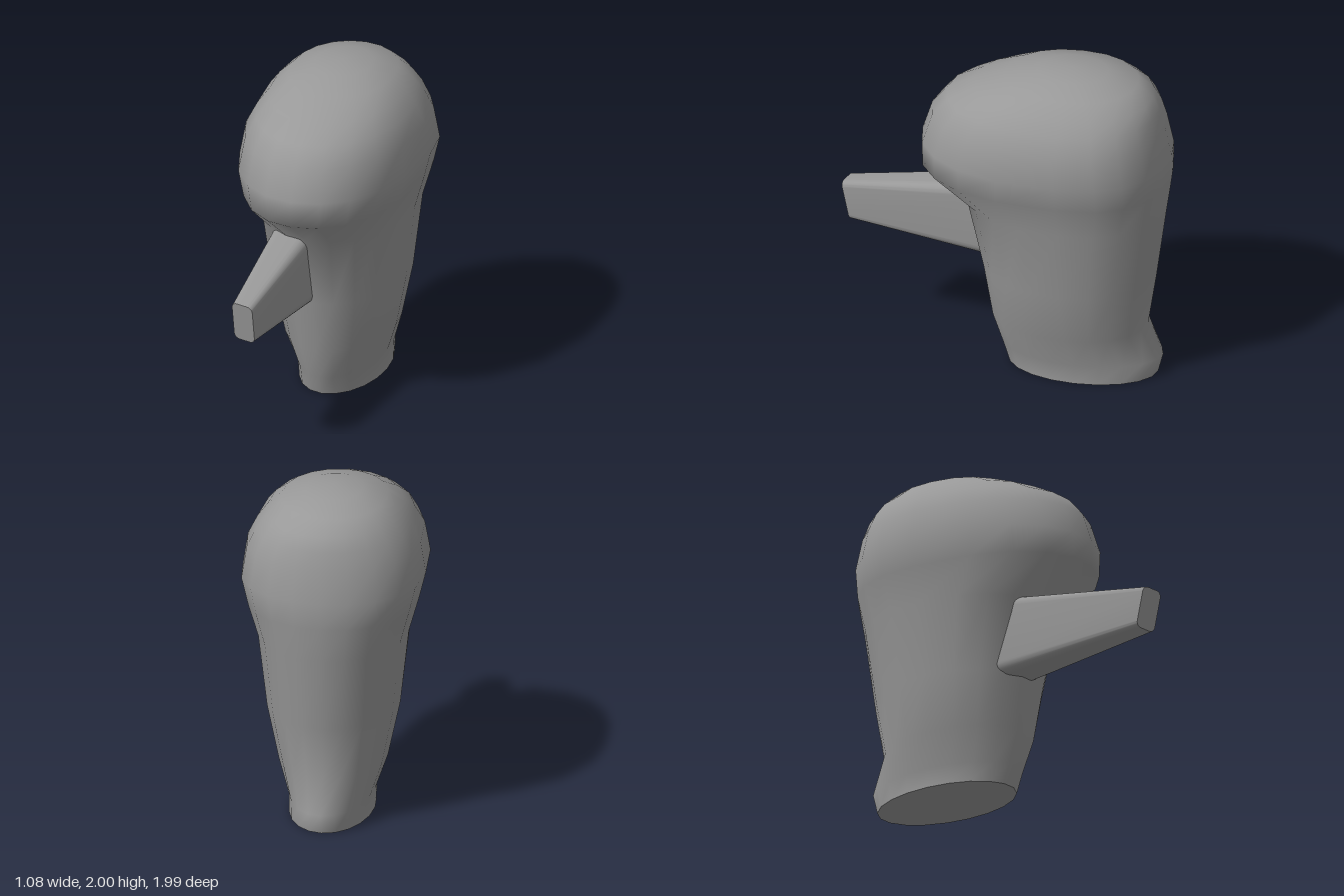
import * as THREE from 'three';
import { toCreasedNormals } from 'three/addons/utils/BufferGeometryUtils.js';

const SIDES = 20;

// Body rings: height, half width, front z, back z, z of widest point, fullness exponent
const RINGS = [
  [0.00, 0.25, -0.02, -0.91, -0.46, 1.0],
  [0.12, 0.25, 0.02, -0.94, -0.46, 1.0],
  [0.32, 0.32, 0.08, -0.85, -0.42, 0.95],
  [0.65, 0.39, 0.13, -0.90, -0.40, 0.9],
  [1.10, 0.44, 0.23, -0.96, -0.40, 0.85],
  [1.31, 0.50, 0.50, -0.99, -0.40, 0.78],
  [1.47, 0.54, 0.50, -0.99, -0.40, 0.78],
  [1.66, 0.51, 0.44, -0.95, -0.40, 0.8],
  [1.77, 0.455, 0.35, -0.92, -0.40, 0.82],
  [1.85, 0.395, 0.20, -0.88, -0.40, 0.85],
  [1.93, 0.31, 0.00, -0.79, -0.40, 0.9],
  [1.98, 0.17, -0.19, -0.61, -0.40, 1.0],
];

function ringPoint([y, w, front, back, mid, power], i) {
  const a = (i / SIDES) * Math.PI * 2;
  const c = Math.cos(a);
  const reach = c > 0 ? front - mid : mid - back;
  return [w * Math.sin(a), y, mid + Math.sign(c) * reach * Math.pow(Math.abs(c), power)];
}

// Smooth egg-shaped loft closed by an apex
function bodyGeometry() {
  const pos = [], index = [];
  RINGS.forEach((ring, r) => {
    for (let i = 0; i < SIDES; i++) {
      pos.push(...ringPoint(ring, i));
      const a = r * SIDES + i, b = r * SIDES + ((i + 1) % SIDES);
      if (r < RINGS.length - 1) index.push(a, b, b + SIDES, a, b + SIDES, a + SIDES);
      else index.push(a, b, RINGS.length * SIDES);
    }
  });
  pos.push(0, 2, -0.4);
  const g = new THREE.BufferGeometry();
  g.setAttribute('position', new THREE.Float32BufferAttribute(pos, 3));
  g.setIndex(index);
  g.computeVertexNormals();
  return g;
}

// Flat underside with a hard edge
function baseGeometry() {
  const pts = [];
  for (let i = 0; i < SIDES; i++) {
    const [x, , z] = ringPoint(RINGS[0], i);
    pts.push(new THREE.Vector2(x, z));
  }
  return new THREE.ShapeGeometry(new THREE.Shape(pts)).rotateX(Math.PI / 2);
}

// Rounded bar, tapered toward a slanted tip
function noseGeometry() {
  const w = 0.07, h = 0.125, r = 0.035;
  const s = new THREE.Shape();
  s.absarc(w - r, h - r, r, 0, Math.PI / 2);
  s.absarc(r - w, h - r, r, Math.PI / 2, Math.PI);
  s.absarc(r - w, r - h, r, Math.PI, Math.PI * 1.5);
  s.absarc(w - r, r - h, r, Math.PI * 1.5, Math.PI * 2);
  const g = new THREE.ExtrudeGeometry(s, { depth: 1, bevelEnabled: false, curveSegments: 4 });
  const p = g.attributes.position;
  for (let i = 0; i < p.count; i++) {
    const t = p.getZ(i), u = p.getX(i) / w, v = p.getY(i) / h;
    const x = THREE.MathUtils.lerp(-0.122, -0.13, t) + u * THREE.MathUtils.lerp(0.137, 0.07, t);
    const y = 0.875 + v * THREE.MathUtils.lerp(0.252, 0.125, t);
    const z = t * (0.955 + 0.025 * v + 0.02 * u);
    p.setXYZ(i, x, y, z);
  }
  return toCreasedNormals(g, 0.6);
}

export function createModel() {
  const grey = new THREE.MeshStandardMaterial({ color: 0x999999 });
  grey.name = 'grey';
  const model = new THREE.Group();
  model.name = 'headBust';
  const add = (name, geometry) => {
    const mesh = new THREE.Mesh(geometry, grey);
    mesh.name = name;
    model.add(mesh);
  };
  add('headAndNeck', bodyGeometry());
  add('neckBase', baseGeometry());
  add('nose', noseGeometry());
  return model;
}
